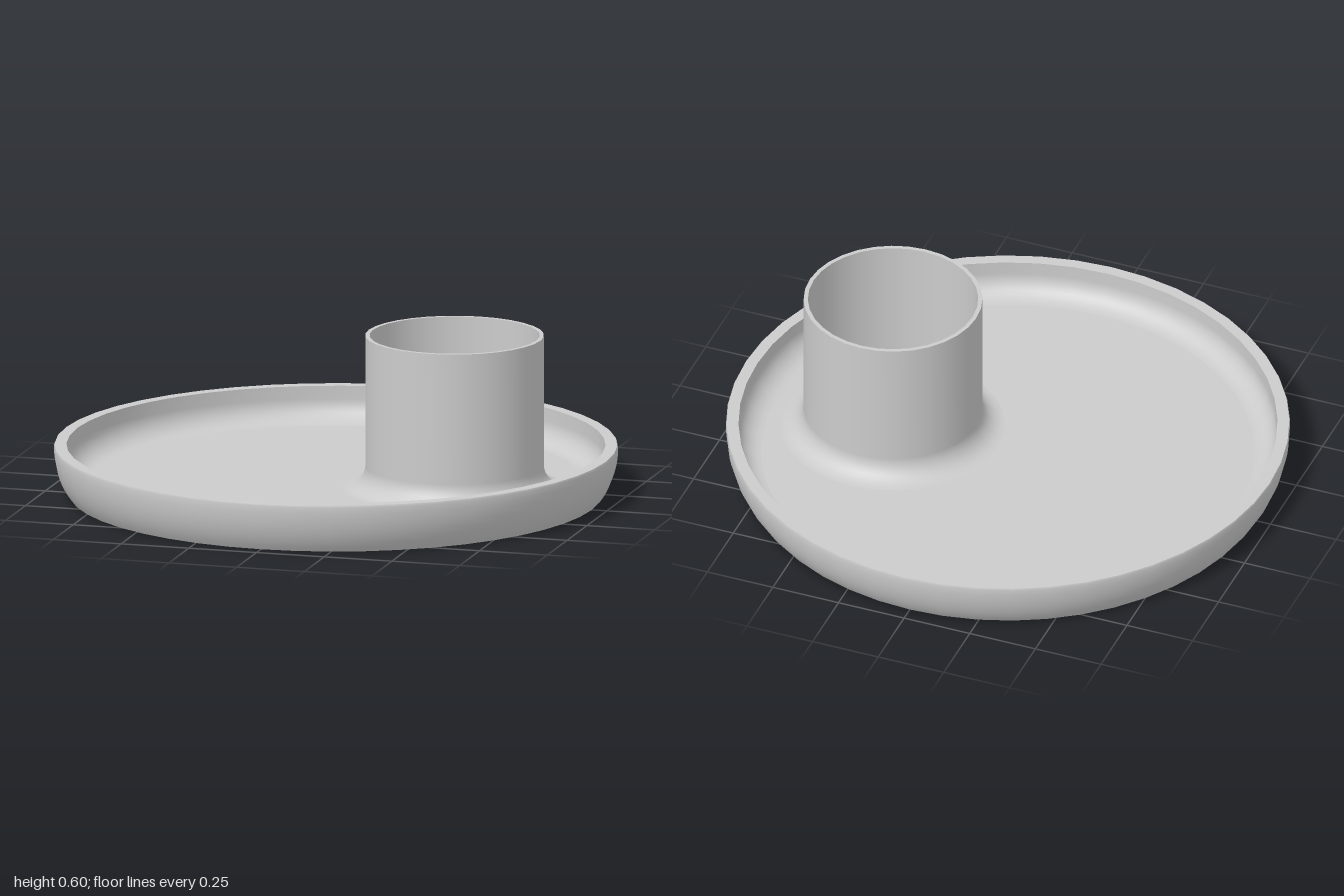
import * as THREE from 'three';
import { mergeGeometries } from 'three/addons/utils/BufferGeometryUtils.js';

const material = new THREE.MeshStandardMaterial({ color: 0xcccccc });

// Revolve each section separately so the edges between sections stay sharp.
function turned(name, sections, segments) {
  const parts = sections.map((pts) =>
    new THREE.LatheGeometry(pts.map(([r, y]) => new THREE.Vector2(r, y)), segments));
  const mesh = new THREE.Mesh(mergeGeometries(parts), material);
  mesh.name = name;
  return mesh;
}

// Elliptical arc of profile points from angle a to angle b (degrees).
function arc(cx, cy, rx, ry, a, b, steps = 8) {
  return Array.from({ length: steps + 1 }, (_, i) => {
    const t = THREE.MathUtils.degToRad(a + ((b - a) * i) / steps);
    return [cx + rx * Math.cos(t), cy + ry * Math.sin(t)];
  });
}

export function createModel() {
  const group = new THREE.Group();
  group.name = 'candleDish';
  const floor = 0.05, fillet = 0.08;

  // Round dish: flat base, bulging outer wall, flat rim, filleted inner wall and floor
  const rim = 0.178, inner = 0.955;
  group.add(turned('dish', [
    [[0, 0], [0.955, 0]],
    [...arc(0.83, 0.17, 0.17, 0.231, -47.4, 0), [0.997, rim]],
    [[0.997, rim], [inner, rim]],
    [[inner, rim], ...arc(inner - fillet, floor + fillet, fillet, fillet, 0, -90)],
    [[inner - fillet, floor], [0, floor]],
  ], 48));

  // Off-centre open cup with a flared foot blending into the floor
  const outerR = 0.317, innerR = 0.302, top = 0.602;
  const cup = turned('candleCup', [
    [...arc(outerR + fillet, floor + fillet, fillet, fillet, 270, 180), [outerR, top]],
    [[outerR, top], [innerR, top]],
    [[innerR, top], [innerR, floor]],
  ], 32);
  cup.position.x = 0.438;
  group.add(cup);
  return group;
}
